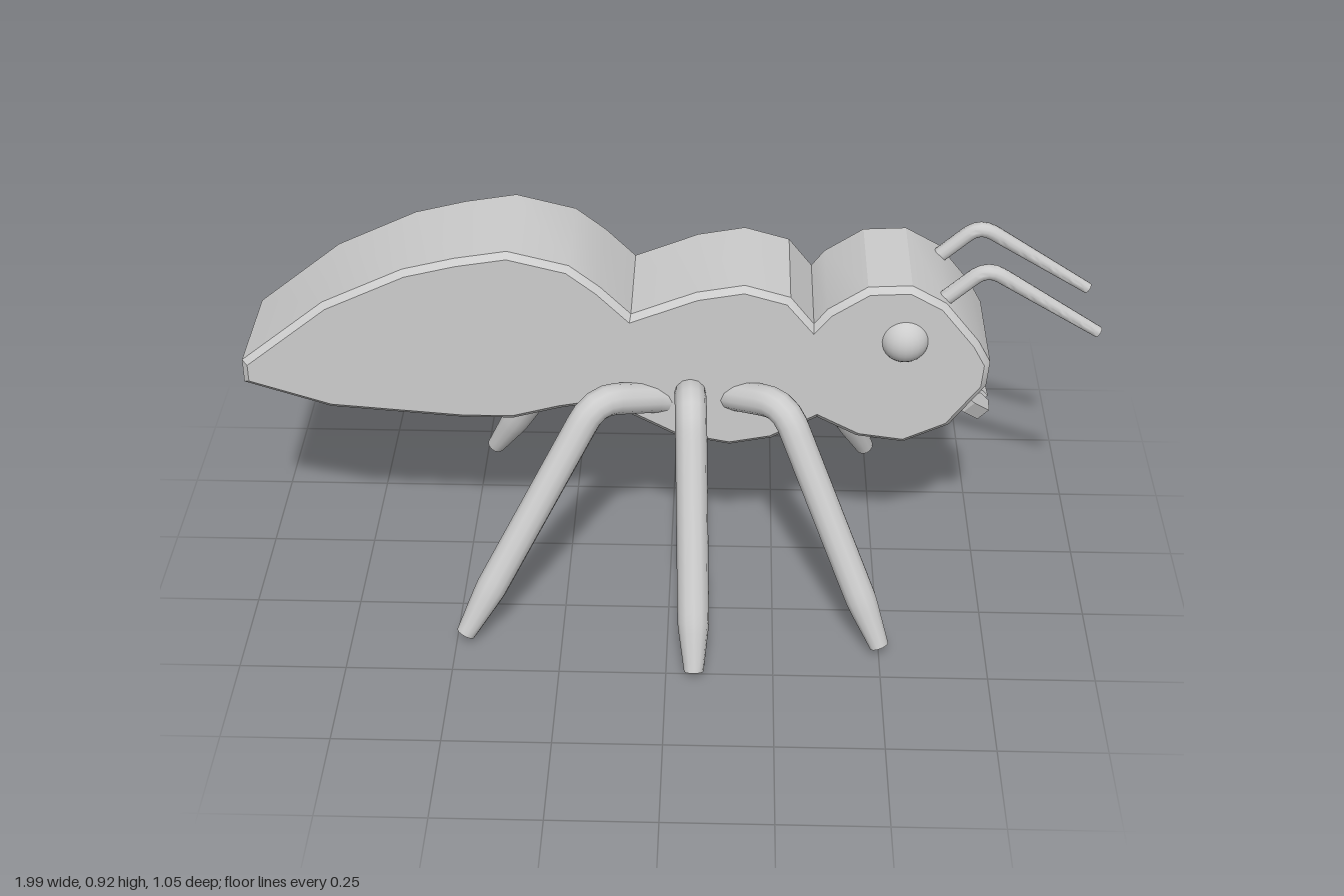
import * as THREE from 'three';
import { toCreasedNormals } from 'three/addons/utils/BufferGeometryUtils.js';

const material = new THREE.MeshStandardMaterial({ color: 0xcccccc });

function part(name, geometry, parent) {
  const mesh = new THREE.Mesh(geometry, material);
  mesh.name = name;
  parent.add(mesh);
  return mesh;
}

const toShape = (points) => new THREE.Shape(points.map(([x, y]) => new THREE.Vector2(x, y)));

// A bent limb: straight, rounded corner, straight, with a taper and a flat tip
function limb(points, radius, tipRadius, taperStart, round) {
  const [a, b, c] = points.map((p) => new THREE.Vector3(...p));
  const before = b.clone().add(a.clone().sub(b).setLength(round));
  const after = b.clone().add(c.clone().sub(b).setLength(round));
  const path = new THREE.CurvePath();
  path.add(new THREE.LineCurve3(a, before));
  path.add(new THREE.QuadraticBezierCurve3(before, b, after));
  path.add(new THREE.LineCurve3(after, c));

  const rings = 32, sides = 12;
  const geometry = new THREE.TubeGeometry(path, rings, radius, sides);
  const pos = geometry.attributes.position;
  const v = new THREE.Vector3();
  for (let i = 0; i <= rings; i++) {
    const center = path.getPointAt(i / rings);
    const tipCenter = path.getPointAt((rings - 1) / rings);
    const t = Math.max(0, (i / rings - taperStart) / (1 - taperStart));
    const scale = THREE.MathUtils.lerp(1, tipRadius / radius, t);
    for (let j = 0; j <= sides; j++) {
      const k = i * (sides + 1) + j;
      v.fromBufferAttribute(pos, k).sub(center).multiplyScalar(scale).add(center);
      if (i === rings) v.copy(tipCenter); // closes the tip with a flat disc
      pos.setXYZ(k, v.x, v.y, v.z);
    }
  }
  return toCreasedNormals(geometry, 0.75);
}

export function createModel() {
  const model = new THREE.Group();
  model.name = 'ant';

  // Body: one side outline of abdomen, thorax and head, extruded with a small bevel
  const outline = [
    // underside, tail to head
    [-1, 0.57], [-0.8, 0.505], [-0.49, 0.48], [-0.37, 0.48], [-0.26, 0.51], [-0.18, 0.525],
    [-0.11, 0.505], [0.01, 0.44], [0.14, 0.415], [0.24, 0.435], [0.345, 0.495],
    [0.44, 0.445], [0.55, 0.43], [0.655, 0.48],
    // face and back, head to tail
    [0.735, 0.59], [0.74, 0.655], [0.71, 0.71], [0.63, 0.81], [0.55, 0.855], [0.45, 0.85],
    [0.36, 0.79], [0.33, 0.75], [0.275, 0.82], [0.17, 0.85], [0.06, 0.83], [-0.09, 0.77],
    [-0.16, 0.84], [-0.23, 0.895], [-0.37, 0.93], [-0.49, 0.91], [-0.61, 0.88], [-0.8, 0.79],
    [-1, 0.63],
  ];
  const bevel = 0.014;
  const body = new THREE.ExtrudeGeometry(toShape(outline), {
    depth: 0.3 - 2 * bevel, bevelSize: bevel, bevelThickness: bevel, bevelOffset: -bevel, bevelSegments: 1,
  });
  body.translate(0, 0, -0.15 + bevel);
  part('body', toCreasedNormals(body, 0.5), model);

  // Hip, knee and foot of each leg on the +z side
  const legs = {
    frontLeg: [[0.14, 0.545, 0.12], [0.265, 0.585, 0.22], [0.51, 0.015, 0.425]],
    middleLeg: [[0.045, 0.55, 0.1], [0.05, 0.585, 0.215], [0.066, 0.0, 0.515]],
    rearLeg: [[-0.015, 0.535, 0.12], [-0.17, 0.585, 0.215], [-0.49, 0.015, 0.405]],
  };
  // Mandible blade, seen flat: across the face and along its slope
  const blade = toShape([[0.01, 0], [0.06, 0.005], [0.09, 0.06], [0.1, 0.14],
    [0.06, 0.14], [0.055, 0.09], [0.035, 0.045], [0.01, 0.03]]);

  for (const side of [1, -1]) {
    const mirror = (points) => points.map(([x, y, z]) => [x, y, z * side]);
    const label = side > 0 ? 'Near' : 'Far';

    for (const [name, points] of Object.entries(legs)) {
      part(name + label, limb(mirror(points), 0.037, 0.02, 0.82, 0.06), model);
    }

    // Antenna rising from the brow and bending forward
    const antenna = mirror([[0.61, 0.785, 0.1], [0.72, 0.885, 0.1], [1.0, 0.71, 0.1]]);
    part('antenna' + label, limb(antenna, 0.018, 0.013, 0.4, 0.04), model);

    // Bulging eye
    const eye = part('eye' + label, new THREE.SphereGeometry(0.058, 24, 16), model);
    eye.position.set(0.54, 0.713, 0.127 * side);

    // Curved mandible sloping down and forward from the face
    const points = blade.getPoints().map((p) => [p.x * side, p.y]);
    const geometry = new THREE.ExtrudeGeometry(toShape(points), { depth: 0.036, bevelEnabled: false });
    geometry.translate(0, 0, -0.018);
    const mandible = part('mandible' + label, geometry, model);
    const across = new THREE.Vector3(0, 0, 1);
    const along = new THREE.Vector3(-1, 1, 0).normalize();
    const normal = new THREE.Vector3().crossVectors(across, along);
    mandible.quaternion.setFromRotationMatrix(new THREE.Matrix4().makeBasis(across, along, normal));
    mandible.position.set(0.748, 0.455, 0);
  }
  return model;
}
